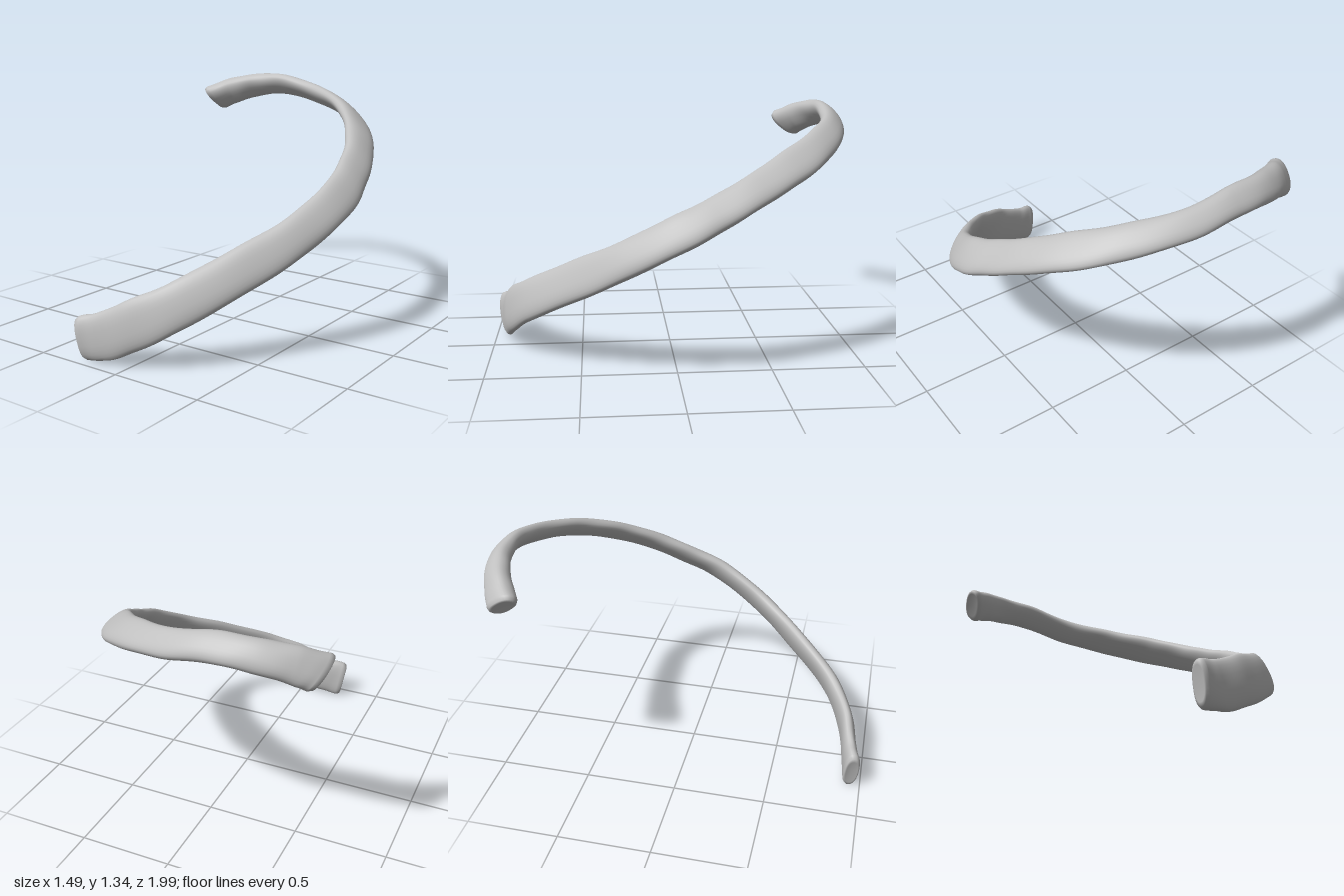
import * as THREE from 'three';

// Stations along the rib, breastbone end to spine end:
// centre x, y, z | half-width vector toward the upper edge x, y, z | half thickness
const STATIONS = [
  [-0.26, 0.125, 0.945, -0.02, 0.115, 0.01, 0.043],
  [-0.15, 0.15, 0.922, -0.03, 0.12, 0.0, 0.04],
  [0.02, 0.23, 0.882, -0.045, 0.118, 0.0, 0.04],
  [0.22, 0.347, 0.768, -0.058, 0.1, 0.0, 0.042],
  [0.445, 0.515, 0.5, -0.066, 0.088, 0.013, 0.042],
  [0.597, 0.66, 0.25, -0.064, 0.076, 0.02, 0.042],
  [0.66, 0.797, 0.0, -0.067, 0.068, 0.035, 0.042],
  [0.634, 0.893, -0.2, -0.06, 0.058, 0.045, 0.041],
  [0.568, 0.995, -0.4, -0.054, 0.052, 0.055, 0.041],
  [0.447, 1.09, -0.6, -0.046, 0.052, 0.068, 0.04],
  [0.25, 1.177, -0.785, -0.026, 0.05, 0.066, 0.04],
  [0.0, 1.238, -0.905, -0.01, 0.05, 0.056, 0.042],
  [-0.25, 1.285, -0.932, 0.0, 0.054, 0.054, 0.043],
  [-0.45, 1.273, -0.91, 0.0, 0.062, 0.05, 0.052],
  [-0.6, 1.232, -0.85, -0.005, 0.072, 0.05, 0.058],
  [-0.695, 1.19, -0.795, -0.025, 0.062, 0.076, 0.055],
];
const STEPS = 200;
const SIDES = 28;

function spline(pick) {
  return new THREE.CatmullRomCurve3(STATIONS.map(pick), false, 'centripetal');
}

// Rounded flat section: exponent below 1 squares the ellipse slightly
const soft = (v) => Math.sign(v) * Math.pow(Math.abs(v), 0.85);

function ribGeometry() {
  const centre = spline((s) => new THREE.Vector3(s[0], s[1], s[2]));
  const width = new THREE.CatmullRomCurve3(
    STATIONS.map((s) => new THREE.Vector3(s[3], s[4], s[5])), false, 'catmullrom', 0.5);
  const thick = (u) => {
    const f = u * (STATIONS.length - 1);
    const i = Math.min(Math.floor(f), STATIONS.length - 2);
    return THREE.MathUtils.lerp(STATIONS[i][6], STATIONS[i + 1][6], f - i);
  };
  const pos = [];
  const index = [];

  const addRing = (u, scale, push) => {
    const c = centre.getPoint(u);
    const t = centre.getTangent(u);
    const w = width.getPoint(u);
    const n = new THREE.Vector3().crossVectors(t, w).normalize().multiplyScalar(thick(u));
    c.addScaledVector(t, push);
    for (let j = 0; j < SIDES; j++) {
      const a = (j / SIDES) * Math.PI * 2;
      // faint uneven bone surface
      const k = scale * (1 + 0.012 * Math.sin(u * 95 + 2 * a) + 0.01 * Math.sin(u * 57 - 3 * a));
      const p = c.clone()
        .addScaledVector(w, soft(Math.cos(a)) * k)
        .addScaledVector(n, soft(Math.sin(a)) * k);
      pos.push(p.x, p.y, p.z);
    }
  };

  // rounded rim, long shaft, rounded rim
  addRing(0, 0.72, -0.022);
  addRing(0, 0.9, -0.018);
  for (let i = 0; i <= STEPS; i++) addRing(i / STEPS, 1, 0);
  addRing(1, 0.9, 0.02);
  addRing(1, 0.72, 0.025);
  const rings = STEPS + 5;

  for (let i = 0; i < rings - 1; i++) {
    for (let j = 0; j < SIDES; j++) {
      const a = i * SIDES + j;
      const b = i * SIDES + ((j + 1) % SIDES);
      index.push(a, b, a + SIDES, b, b + SIDES, a + SIDES);
    }
  }

  // slightly hollowed end faces
  const addCap = (u, push, ring, flip) => {
    const p = centre.getPoint(u).addScaledVector(centre.getTangent(u), push);
    const m = pos.length / 3;
    pos.push(p.x, p.y, p.z);
    for (let j = 0; j < SIDES; j++) {
      const a = ring * SIDES + j;
      const b = ring * SIDES + ((j + 1) % SIDES);
      if (flip) index.push(m, b, a);
      else index.push(m, a, b);
    }
  };
  addCap(0, -0.008, 0, true);
  addCap(1, 0.012, rings - 1, false);

  const g = new THREE.BufferGeometry();
  g.setAttribute('position', new THREE.Float32BufferAttribute(pos, 3));
  g.setIndex(index);
  g.computeVertexNormals();
  return g;
}

export function createModel() {
  const group = new THREE.Group();
  group.name = 'rib';
  const bone = new THREE.MeshStandardMaterial({ color: 0xc0c0c0 });
  bone.name = 'bone grey';
  const rib = new THREE.Mesh(ribGeometry(), bone);
  rib.name = 'ribBone';
  group.add(rib);
  return group;
}
